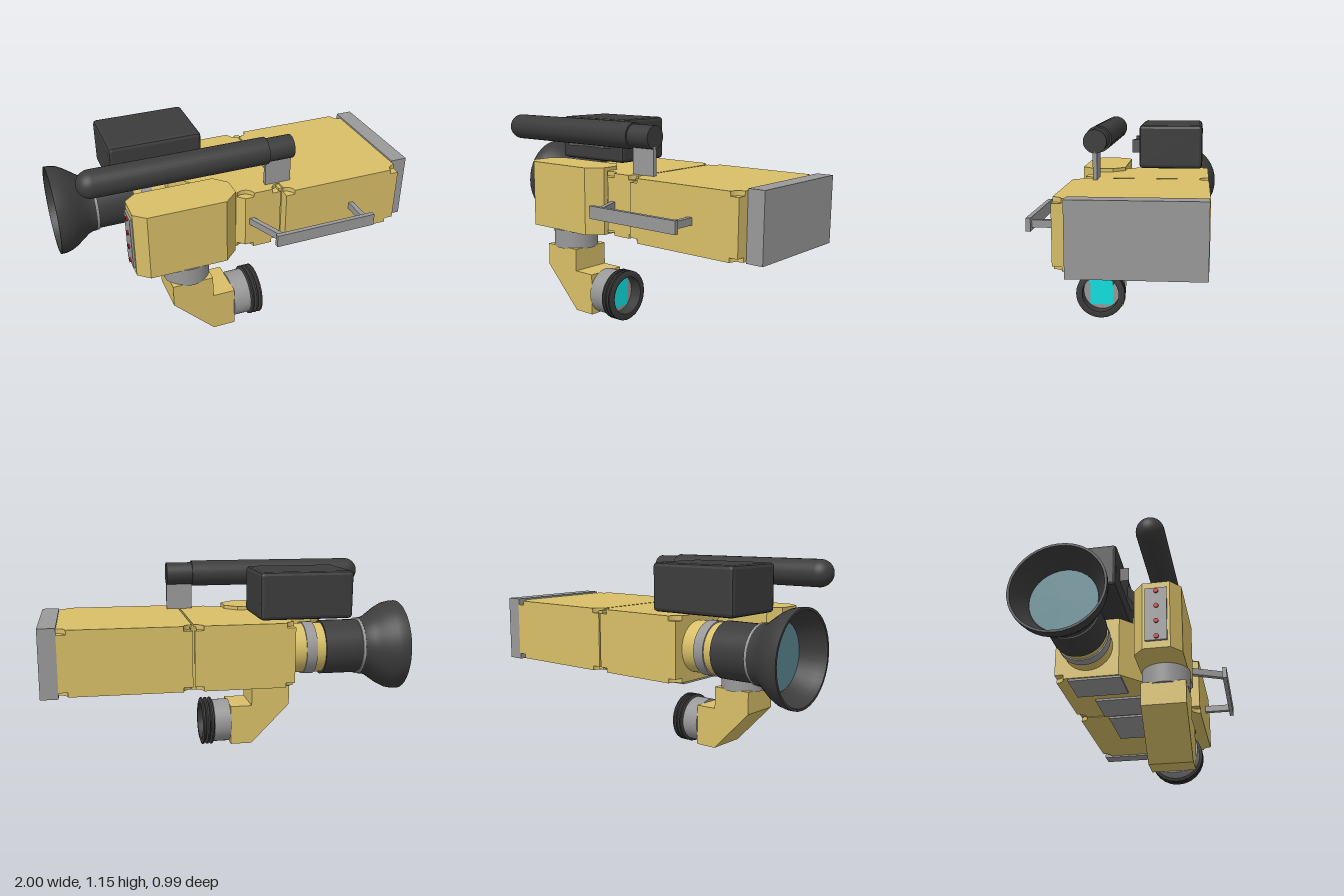
import * as THREE from 'three';
import { toCreasedNormals } from 'three/addons/utils/BufferGeometryUtils.js';
import { RoundedBoxGeometry } from 'three/addons/geometries/RoundedBoxGeometry.js';

const mat = (color, extra = {}) => {
  const m = new THREE.MeshStandardMaterial({ color, side: THREE.DoubleSide });
  return Object.assign(m, extra);
};
const YELLOW = mat(0xd8bf68), GREY = mat(0x999999), DARK = mat(0x3c3c3c);
const DARK_FLAT = mat(0x3c3c3c, { flatShading: true }), CHARCOAL = mat(0x5a5a5a);
const CYAN = mat(0x10e0e0), GLASS = mat(0x5a8790), RED = mat(0xcc1515), GREEN = mat(0x0a4a30);

export function createModel() {
  const root = new THREE.Group();

  const add = (name, geometry, material, parent = root) => {
    const mesh = new THREE.Mesh(geometry, material);
    mesh.name = name;
    parent.add(mesh);
    return mesh;
  };
  const group = (name) => {
    const g = new THREE.Group();
    g.name = name;
    root.add(g);
    return g;
  };
  // Box given by its limits on each axis
  const box = (name, [x0, x1], [y0, y1], [z0, z1], material, parent) => {
    const g = new THREE.BoxGeometry(x1 - x0, y1 - y0, z1 - z0);
    g.translate((x0 + x1) / 2, (y0 + y1) / 2, (z0 + z1) / 2);
    return add(name, g, material, parent);
  };
  // Outline of [x, z] points raised from y0 to y1
  const prism = (name, points, y0, y1, material, parent) => {
    const shape = new THREE.Shape(points.map(([x, z]) => new THREE.Vector2(x, -z)));
    const g = new THREE.ExtrudeGeometry(shape, { depth: y1 - y0, bevelEnabled: false });
    g.rotateX(-Math.PI / 2).translate(0, y0, 0);
    return add(name, g, material, parent);
  };
  // Profile of [radius, x] points turned around an axis parallel to x
  const turned = (name, profile, y, z, material, parent, sides = 36) => {
    const pts = profile.map(([r, x]) => new THREE.Vector2(r, x));
    const g = new THREE.LatheGeometry(pts, sides);
    g.rotateZ(-Math.PI / 2).translate(0, y, z);
    return add(name, toCreasedNormals(g, 0.6), material, parent);
  };
  const rod = (name, r, x0, x1, y, z, material, parent, sides) =>
    turned(name, [[0, x0], [r, x0], [r, x1], [0, x1]], y, z, material, parent, sides);

  // Cut a rounded bite out of the chosen corners of an outline
  const notch = (points, corners, r = 0.05) => points.flatMap((p, i) => {
    if (!corners.includes(i)) return [p];
    const n = points.length;
    const c = new THREE.Vector2(...p);
    const a = new THREE.Vector2(...points[(i + n - 1) % n]).sub(c).normalize();
    const b = new THREE.Vector2(...points[(i + 1) % n]).sub(c).normalize();
    return Array.from({ length: 7 }, (_, k) => {
      const t = (k / 6) * Math.PI / 2;
      const d = a.clone().multiplyScalar(Math.cos(t)).addScaledVector(b, Math.sin(t));
      d.setLength(r).add(c);
      return [d.x, d.y];
    });
  });

  // Body: two sections with notched corners, top and bottom
  const body = group('body');
  const section = (name, outline, corners) => {
    prism(name, outline, 0.54, 0.845, YELLOW, body);
    const cut = notch(outline, corners);
    prism(name + 'Top', cut, 0.845, 0.87, YELLOW, body);
    prism(name + 'Bottom', cut, 0.515, 0.54, YELLOW, body);
  };
  section('rearSection', [[0.2, -0.435], [0.905, -0.435], [0.905, 0.315], [0.2, 0.315]], [0, 1, 2, 3]);
  section('frontSection',
    [[-0.36, -0.435], [0.19, -0.435], [0.19, 0.26], [-0.02, 0.26], [-0.36, -0.07]], [0, 1, 2, 3]);
  box('sectionJoint', [0.18, 0.21], [0.525, 0.86], [-0.425, 0.25], YELLOW, body);
  box('endPlate', [0.905, 1], [0.505, 0.88], [-0.43, 0.24], GREY, body);

  // Underside panels
  box('bottomPanelRear', [0.21, 0.56], [0.503, 0.52], [-0.25, 0.25], GREY, body);
  box('bottomPanelMiddle', [-0.06, 0.18], [0.503, 0.52], [-0.27, 0.18], GREY, body);
  box('bottomPanelFront', [-0.35, -0.13], [0.503, 0.52], [-0.36, -0.06], GREY, body);
  box('bottomGreenPanel', [0.65, 0.88], [0.512, 0.52], [0.1, 0.19], GREEN, body);

  // Lens with an open hood
  const lens = group('lens');
  const ly = 0.695, lz = -0.245;
  rod('lensMount', 0.14, -0.56, -0.34, ly, lz, YELLOW, lens);
  rod('lensRing', 0.147, -0.5, -0.44, ly, lz, GREY, lens);
  rod('lensBarrel', 0.152, -0.765, -0.55, ly, lz, DARK, lens);
  rod('hoodRing', 0.16, -0.775, -0.76, ly, lz, GREY, lens);
  turned('hood', [[0.145, -0.8], [0.18, -0.86], [0.21, -0.91], [0.232, -0.96], [0.24, -1], [0.253, -1],
    [0.252, -0.97], [0.244, -0.935], [0.226, -0.9], [0.198, -0.86], [0.173, -0.825],
    [0.163, -0.8], [0.161, -0.775], [0, -0.775]], ly, lz, DARK, lens, 40);
  rod('lensGlass', 0.18, -0.87, -0.855, ly, lz, GLASS, lens);

  // Black box on top, with its notched front block
  const top = group('topBox');
  const shell = add('topBoxShell', new RoundedBoxGeometry(0.52, 0.26, 0.38, 1, 0.02), DARK_FLAT, top);
  shell.position.set(-0.43, 1.01, -0.21);
  prism('topBoxFrontBlock', [[-0.59, -0.03], [-0.27, -0.03], [-0.27, 0.03], [-0.43, -0.01], [-0.59, 0.03]],
    0.965, 1.045, CHARCOAL, top);

  // Microphone and bracket
  const mic = group('microphone');
  const capsule = [[0, -0.91]];
  for (let i = 1; i <= 8; i++) {
    const t = (i / 8) * Math.PI / 2;
    capsule.push([0.075 * Math.sin(t), -0.835 - 0.075 * Math.cos(t)]);
  }
  turned('microphoneCover', [...capsule, [0.075, 0.12], [0, 0.12]], 1.08, 0.19, DARK, mic, 28);
  rod('microphoneEnd', 0.065, 0.11, 0.27, 1.08, 0.19, DARK, mic, 28);
  box('microphoneBracket', [0.12, 0.27], [0.86, 1.03], [0.178, 0.202], GREY, mic);

  // Side handle
  const handle = group('handle');
  box('handleBar', [0.07, 0.66], [0.655, 0.725], [0.47, 0.495], GREY, handle);
  box('handleRearPost', [0.597, 0.625], [0.67, 0.71], [0.3, 0.475], GREY, handle);
  prism('handleFrontPost', [[0.0, 0.25], [0.03, 0.25], [0.13, 0.475], [0.1, 0.475]], 0.67, 0.71, GREY, handle);

  // Viewfinder housing with button panel
  const finder = group('viewfinder');
  prism('viewfinderHousing', [[-0.655, 0.115], [-0.59, 0.06], [-0.14, 0.06], [-0.07, 0.13],
    [-0.07, 0.24], [-0.15, 0.315], [-0.59, 0.315], [-0.655, 0.26]], 0.5, 0.89, YELLOW, finder);
  box('buttonPanel', [-0.667, -0.65], [0.54, 0.85], [0.13, 0.245], GREY, finder);
  for (let i = 0; i < 4; i++) {
    rod('button', 0.013, -0.675, -0.66, 0.56 + i * 0.09, 0.19, RED, finder, 12);
  }

  // Swivel collar and bent tube
  const collar = new THREE.CylinderGeometry(0.131, 0.131, 0.11, 36).translate(-0.355, 0.447, 0.193);
  add('swivelCollar', collar, GREY, finder);
  const elbow = new THREE.Shape([[-0.47, 0.4], [-0.47, 0.27], [-0.235, 0.03], [-0.105, 0.03],
    [-0.105, 0.27], [-0.235, 0.27], [-0.235, 0.4]].map((p) => new THREE.Vector2(...p)));
  add('elbow', new THREE.ExtrudeGeometry(elbow, { depth: 0.24, bevelEnabled: false })
    .translate(0, 0, 0.073), YELLOW, finder);

  // Eyepiece with ribbed rubber cup and screen
  const ey = 0.153, ez = 0.193;
  rod('eyepieceRing', 0.132, -0.107, -0.005, ey, ez, GREY, finder);
  const cup = [[0.125, -0.01]];
  for (let i = 0; i < 3; i++) {
    const x = -0.005 + i * 0.026;
    cup.push([0.125, x], [0.147, x + 0.007], [0.147, x + 0.016], [0.125, x + 0.023]);
  }
  turned('eyecup', [...cup, [0.11, 0.068], [0.11, -0.01]], ey, ez, DARK, finder, 24);
  box('eyepieceScreen', [-0.01, 0.0], [0.07, 0.235], [0.123, 0.263], CYAN, finder);

  return root;
}
